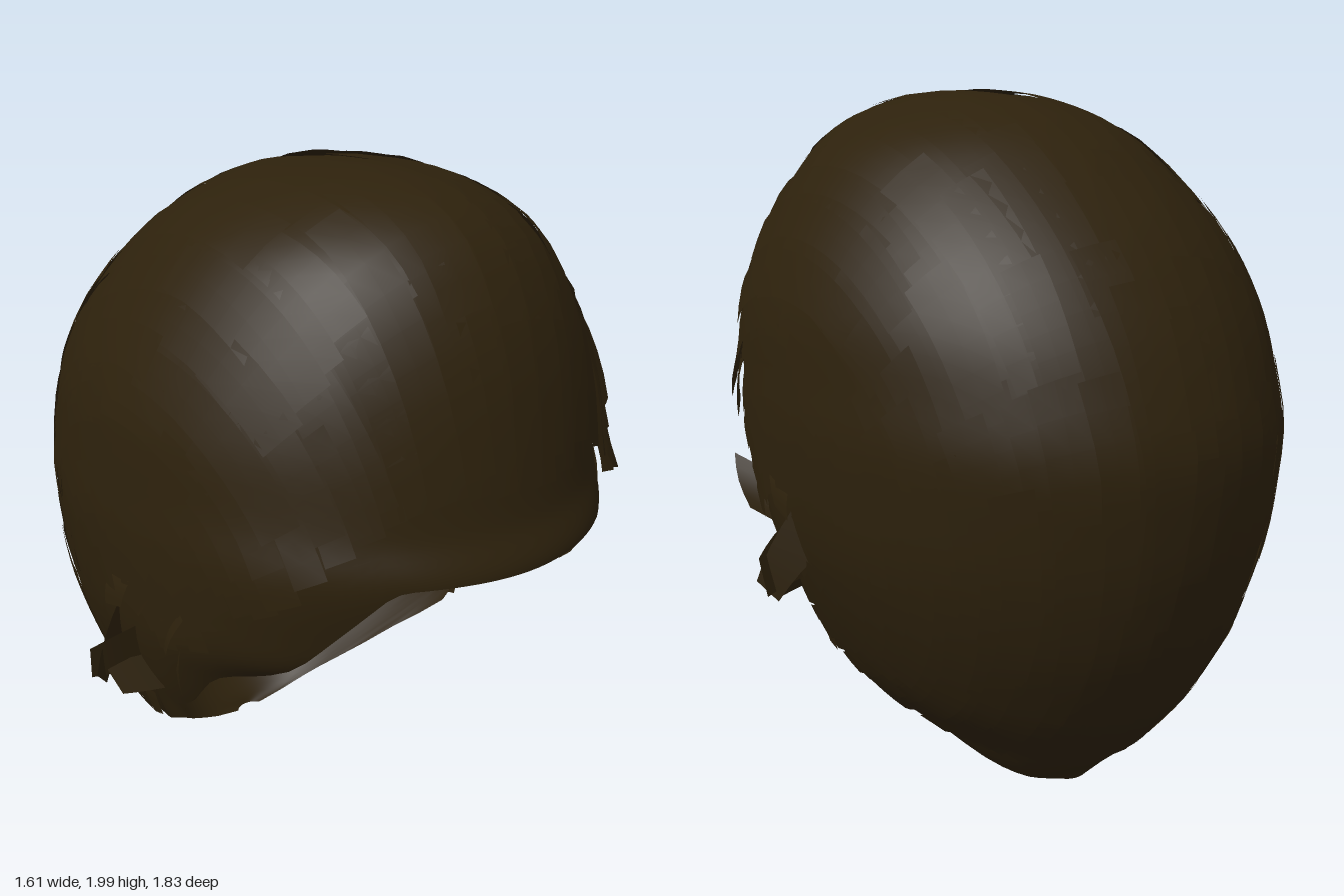
import * as THREE from 'three';
import { mergeGeometries } from 'three/addons/utils/BufferGeometryUtils.js';

// Horizontal sections of the scalp: height, front z, back z, half width, centre z
const SECTIONS = [
  [0, -0.3, -0.38, 0.05, -0.34], [0.03, -0.2, -0.4, 0.16, -0.31], [0.1, -0.05, -0.48, 0.27, -0.23],
  [0.2, 0.1, -0.57, 0.37, -0.12], [0.3, 0.2, -0.65, 0.48, -0.04], [0.4, 0.35, -0.71, 0.56, 0.02],
  [0.55, 0.47, -0.79, 0.63, 0.05], [0.7, 0.63, -0.84, 0.68, 0.06], [0.8, 0.8, -0.865, 0.7, 0.06],
  [0.9, 0.86, -0.88, 0.71, 0.06], [1.08, 0.92, -0.895, 0.72, 0.06], [1.2, 0.88, -0.865, 0.715, 0.07],
  [1.4, 0.845, -0.785, 0.695, 0.09], [1.6, 0.8, -0.645, 0.615, 0.11], [1.8, 0.71, -0.42, 0.475, 0.15],
  [1.9, 0.61, -0.25, 0.33, 0.18], [1.96, 0.46, -0.03, 0.17, 0.22], [1.98, 0.27, 0.22, 0.01, 0.245],
];
// Lower rim: angle from the front in degrees, height, bare margin above the rim
const RIM = [
  [0, 1.08, 0.2], [28, 1.08, 0.17], [32, 1.06, 0.16], [36, 1.0, 0.2], [45, 0.84, 0.26], [50, 0.76, 0.27],
  [61, 0.69, 0.2], [68, 0.56, 0.15], [78, 0.52, 0.06], [84, 0.57, 0.02], [87, 0.55, 0.02], [90, 0.4, 0.02],
  [95, 0.28, 0.04], [100, 0.14, 0.08], [107, 0.05, 0.11], [116, 0, 0.12], [180, 0, 0.1],
];
const TOP = 1.98;

let seed = 7;
const rand = () => (seed = (seed * 16807) % 2147483647) / 2147483647;
const rad = THREE.MathUtils.degToRad;

// Smooth lookup of column k in a table keyed by its first column
function lookup(table, x, k) {
  const n = table.length - 1;
  let i = 0;
  while (i < n - 1 && x > table[i + 1][0]) i++;
  const slope = (j) => {
    const a = table[Math.max(0, j - 1)], b = table[Math.min(n, j + 1)];
    return (b[k] - a[k]) / (b[0] - a[0]);
  };
  const h = table[i + 1][0] - table[i][0];
  const t = THREE.MathUtils.clamp((x - table[i][0]) / h, 0, 1), t2 = t * t, t3 = t2 * t;
  return (2 * t3 - 3 * t2 + 1) * table[i][k] + (t3 - 2 * t2 + t) * h * slope(i)
    + (3 * t2 - 2 * t3) * table[i + 1][k] + (t3 - t2) * h * slope(i + 1);
}
const rimHeight = (angle) => Math.max(0, lookup(RIM, angle, 1));

function section(y) {
  const [front, back, width, c] = [1, 2, 3, 4].map((k) => lookup(SECTIONS, y, k));
  return { front: front - c, back: c - back, width: Math.max(width, 0.001), c };
}

// Position of a point relative to its section: radius (1 = on the surface) and angle
function polar(p) {
  const s = section(p.y), dz = p.z - s.c;
  const u = Math.abs(p.x) / s.width, v = dz / (dz > 0 ? s.front : s.back);
  return { r: Math.hypot(u, v), angle: THREE.MathUtils.radToDeg(Math.atan2(u, v)) };
}

// Scalp point in the direction given by a sideways and a front-to-back angle
const CORE = new THREE.Vector3(0, 0.75, 0.08);
function scalpPoint(side, sweep, lift) {
  const a = rad(side), b = rad(sweep);
  const d = new THREE.Vector3(Math.sin(a), Math.cos(a) * Math.sin(b), Math.cos(a) * Math.cos(b));
  const p = new THREE.Vector3();
  let lo = 0, hi = 1.8;
  for (let i = 0; i < 20; i++) {
    const m = (lo + hi) / 2;
    p.copy(CORE).addScaledVector(d, m);
    if (p.y < TOP && p.y > 0 && polar(p).r < 1) lo = m; else hi = m;
  }
  return p.copy(CORE).addScaledVector(d, lo + lift);
}

function build(positions, index) {
  const g = new THREE.BufferGeometry();
  g.setAttribute('position', new THREE.Float32BufferAttribute(positions, 3));
  g.setIndex(index);
  g.computeVertexNormals();
  return g;
}

// Open cap from the rim to the crown
function scalpGeometry(cols = 144, rows = 44) {
  const pos = [], index = [];
  for (let j = 0; j <= rows; j++) {
    for (let i = 0; i < cols; i++) {
      const phi = (i / cols) * 360, rim = rimHeight(phi > 180 ? 360 - phi : phi);
      const y = rim + (TOP - rim) * (1 - Math.cos((j / rows) * Math.PI)) / 2;
      const s = section(y), cos = Math.cos(rad(phi));
      pos.push(s.width * Math.sin(rad(phi)), y, s.c + cos * (cos > 0 ? s.front : s.back));
      if (j === rows) continue;
      const a = j * cols + i, b = j * cols + (i + 1) % cols;
      index.push(a, b, a + cols, b, b + cols, a + cols);
    }
  }
  return build(pos, index);
}

// One lock: a thin strip lying along the sweep of the hair, flaring out at the temples
function lockGeometry(side, start, length, width) {
  const steps = 9, pos = [], index = [];
  const lift = 0.003 + rand() * 0.014, skew = (rand() - 0.5) * 3;
  for (let i = 0; i <= steps; i++) {
    const t = i / steps, sweep = start + length * t;
    const temple = Math.exp(-(((Math.abs(side) - 38) / 11) ** 2)) * THREE.MathUtils.clamp((75 - sweep) / 45, 0, 1);
    const row = [-0.5, 0, 0.5].map((k) =>
      scalpPoint(side + skew * t + k * width * (1 - 0.2 * t), sweep, lift + 0.006 * (1 - t) + 0.06 * temple));
    const covered = row.every((p) => {
      const { angle } = polar(p);
      return p.y > rimHeight(angle) + lookup(RIM, angle, 2);
    });
    if (!covered) {
      if (pos.length) break;
      continue;
    }
    row.forEach((p) => pos.push(p.x, p.y, p.z));
  }
  const rows = pos.length / 9;
  for (let i = 0; i < rows - 1; i++) {
    for (let k = 0; k < 2; k++) {
      const a = i * 3 + k;
      index.push(a, a + 1, a + 3, a + 1, a + 4, a + 3);
    }
  }
  return rows > 1 ? build(pos, index) : null;
}

// Short tufts around the ear: root, tip, half-width vector
const TUFTS = [
  [[0.64, 0.72, 0.1], [0.8, 0.67, 0.02], [0.01, 0.09, 0.02]],
  [[0.66, 0.8, 0.0], [0.78, 0.62, 0.04], [0.04, 0.05, 0.03]],
  [[0.6, 0.64, 0.12], [0.75, 0.61, 0.06], [0.02, 0.06, -0.03]],
  [[0.7, 0.98, 0.08], [0.73, 0.84, 0.04], [0.0, 0.02, 0.07]],
  [[0.69, 0.92, 0.32], [0.7, 0.78, 0.25], [0.03, 0.02, 0.06]],
  [[0.66, 0.8, 0.24], [0.6, 0.55, 0.15], [0.01, 0.02, 0.05]],
  [[0.62, 0.62, 0.0], [0.59, 0.42, 0.02], [0.0, 0.01, 0.04]],
];
function tuftGeometry([root, tip, half]) {
  const pos = [], index = [], side = new THREE.Vector3(...half);
  for (let i = 0; i <= 4; i++) {
    const t = i / 4, p = new THREE.Vector3(...root).lerp(new THREE.Vector3(...tip), t);
    p.x += 0.012 * Math.sin(Math.PI * t);
    for (const k of [1, -1]) pos.push(...p.clone().addScaledVector(side, k * (1 - 0.4 * t)).toArray());
    if (i < 4) index.push(i * 2, i * 2 + 2, i * 2 + 1, i * 2 + 1, i * 2 + 2, i * 2 + 3);
  }
  return build(pos, index);
}

export function createModel() {
  const model = new THREE.Group();
  model.name = 'shortHair';
  const brown = new THREE.MeshStandardMaterial({ color: 0x2d210c, side: THREE.DoubleSide });
  brown.name = 'dark brown';
  const add = (name, geometry, parent = model) => {
    const mesh = new THREE.Mesh(geometry, brown);
    mesh.name = name;
    parent.add(mesh);
  };

  add('scalpCap', scalpGeometry());

  // Overlapping locks swept from the fringe over the crown to the nape
  const locks = [];
  for (let side = -76; side <= 76; side += 4.75) {
    for (let start = 12 + rand() * 12; start < 240; start += 16 + rand() * 8) {
      const lock = lockGeometry(side + (rand() - 0.5) * 2, start, 28 + rand() * 20, 5 + rand() * 2.5);
      if (lock) locks.push(lock);
    }
  }
  add('hairLocks', mergeGeometries(locks));

  // Ear tufts, mirrored to both sides
  for (const s of [1, -1]) {
    const tufts = new THREE.Group();
    tufts.name = s > 0 ? 'leftEarTufts' : 'rightEarTufts';
    TUFTS.forEach((t) => add('earTuft', tuftGeometry(t), tufts));
    tufts.scale.x = s;
    model.add(tufts);
  }
  return model;
}
